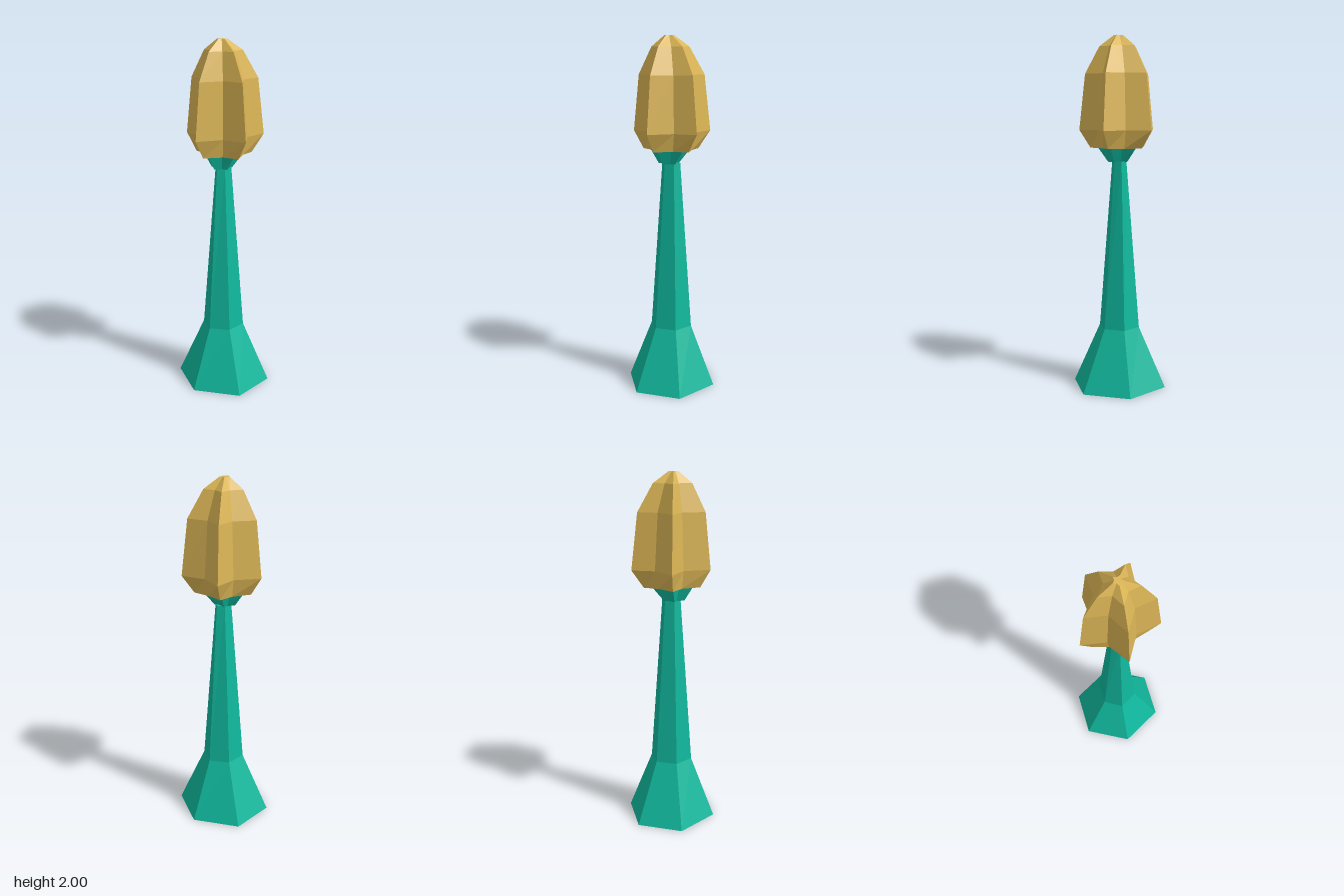
import * as THREE from 'three';

// Faceted skin through closed rings (bottom to top), capped at both ends
function loft(rings) {
  const pos = [];
  const tri = (a, b, c) => pos.push(...a, ...b, ...c);
  const n = rings[0].length;
  const centre = (ring) => [0, 1, 2].map((k) => ring.reduce((s, p) => s + p[k], 0) / n);
  const bottom = rings[0], top = rings[rings.length - 1];
  const cb = centre(bottom), ct = centre(top);
  for (let i = 0; i < n; i++) {
    const j = (i + 1) % n;
    for (let r = 0; r < rings.length - 1; r++) {
      const lo = rings[r], hi = rings[r + 1];
      tri(lo[i], hi[i], lo[j]);
      tri(hi[i], hi[j], lo[j]);
    }
    tri(cb, bottom[i], bottom[j]);
    tri(ct, top[j], top[i]);
  }
  const geo = new THREE.BufferGeometry();
  geo.setAttribute('position', new THREE.Float32BufferAttribute(pos, 3));
  geo.computeVertexNormals(); // unshared corners give flat facets
  return geo;
}

// Six-sided ring with corners on the x axis
function hexRing([y, rx, rz]) {
  return Array.from({ length: 6 }, (_, i) => {
    const a = (i * Math.PI) / 3;
    return [rx * Math.cos(a), y, rz * Math.sin(a)];
  });
}

// Five-pointed ring, one tip towards -x; tips and notches have their own x offset
function starRing([y, tipR, tipX, notchR, notchX]) {
  return Array.from({ length: 10 }, (_, i) => {
    const a = (i * Math.PI) / 5;
    const tip = i % 2 === 1;
    const r = tip ? tipR : notchR;
    return [(tip ? tipX : notchX) + r * Math.cos(a), y, r * Math.sin(a)];
  });
}

export function createModel() {
  const teal = new THREE.MeshStandardMaterial({ color: 0x10b89d });
  teal.name = 'teal';
  const gold = new THREE.MeshStandardMaterial({ color: 0xdcb656 });
  gold.name = 'gold';

  const model = new THREE.Group();
  model.name = 'budOnStem';
  const add = (name, rings, material) => {
    const mesh = new THREE.Mesh(loft(rings), material);
    mesh.name = name;
    model.add(mesh);
  };

  // Flared hexagonal stem: y, x radius, z radius
  add('stem', [
    [0, 0.26, 0.277],
    [0.35, 0.121, 0.117],
    [1.305, 0.053, 0.04],
  ].map(hexRing), teal);

  // Star-shaped cup under the bud
  add('cup', [
    [1.3, 0.06, -0.015, 0.036, -0.008],
    [1.385, 0.122, -0.005, 0.07, 0],
  ].map(starRing), teal);

  // Ribbed bud: y, tip radius, tip offset, notch radius, notch offset
  add('bud', [
    [1.38, 0.163, -0.002, 0.11, 0.01],
    [1.48, 0.2266, 0.0046, 0.131, 0.016],
    [1.79, 0.192, 0.002, 0.11, 0.012],
    [1.94, 0.11, -0.005, 0.064, 0],
    [2, 0.029, -0.012, 0.016, -0.012],
  ].map(starRing), gold);

  return model;
}
